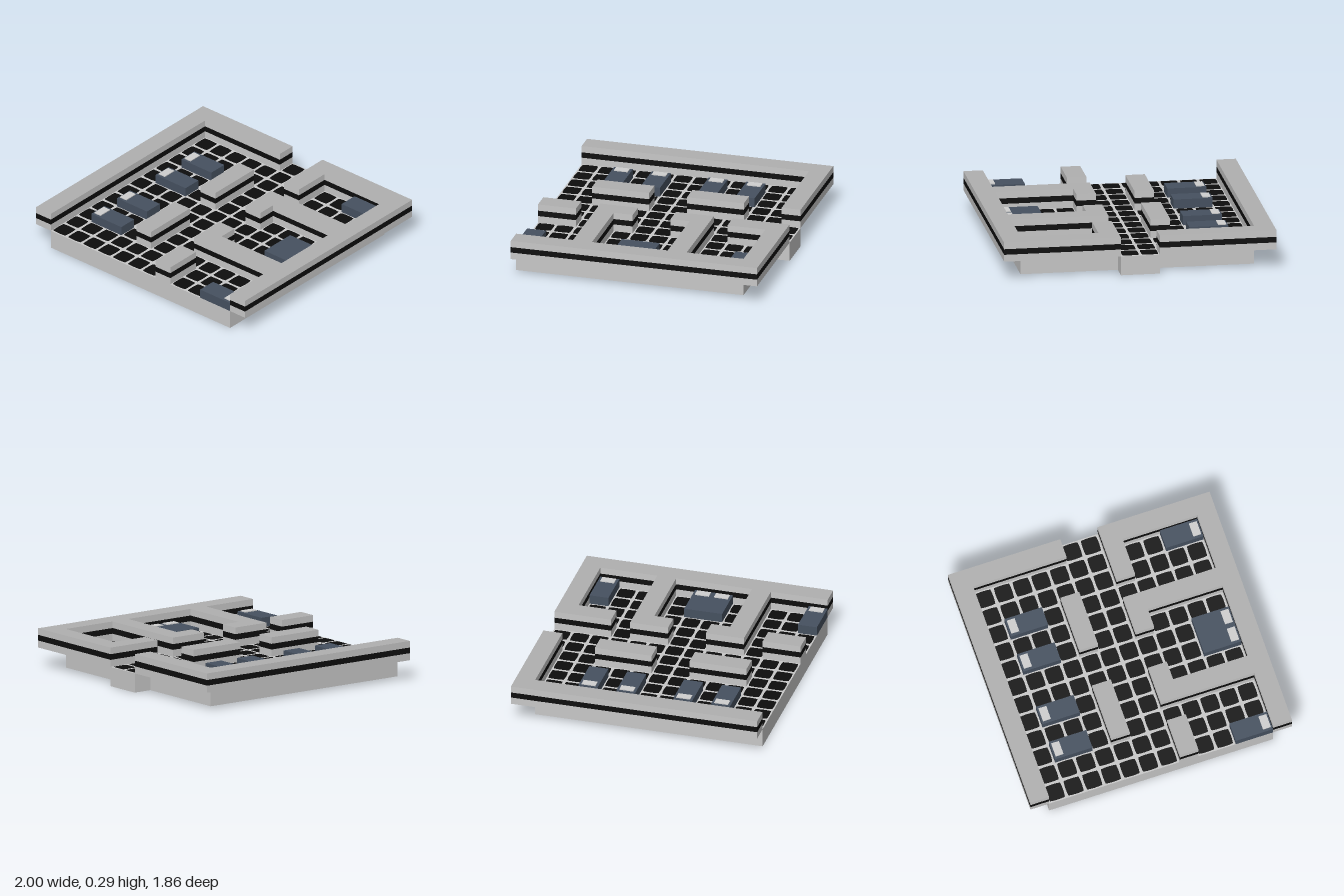
import * as THREE from 'three';

// Everything sits on a grid of 14 by 13 square cells.
const U = 2 / 14;
const COLS = 14, ROWS = 13;

// Cell rectangles: [column, row, width, depth], row 0 at the back
const WALLS = [
  [0, 0, 1, 13], [13, 0, 1, 13],            // long side walls
  [1, 0, 5, 1], [8, 0, 5, 1],               // back walls beside the doorway
  [8, 1, 1, 2], [8, 4, 1, 2], [8, 8, 1, 2], [8, 11, 1, 2], // room fronts
  [9, 4, 4, 1], [9, 9, 4, 1],               // room dividers
  [5, 3, 1, 3], [5, 8, 1, 3],               // free-standing partitions
];
const BEDS = [
  ...[3, 5, 8, 10].map((r) => [2, r, 2, 1]),
  ...[1, 6, 7, 12].map((r) => [11, r, 2, 1]),
];
const FLOORS = [[1, 1, 12, 12], [6, 0, 2, 1]];

function material(name, color) {
  const m = new THREE.MeshStandardMaterial({ color });
  m.name = name;
  return m;
}

export function createModel() {
  const model = new THREE.Group();
  model.name = 'floorPlan';

  const stone = material('lightStone', 0xc8c8c8);
  const cap = material('wallCap', 0xb0b0b0);
  const black = material('black', 0x0d0d0d);
  const blanket = material('blanket', 0x465160);
  const linen = material('pillowLinen', 0xcfcfcf);
  const capped = [stone, stone, cap, stone, stone, stone];

  // Box filling a cell rectangle between two heights
  function cellBox(parent, name, [c, r, w, d], y0, y1, mat) {
    const mesh = new THREE.Mesh(new THREE.BoxGeometry(w * U, y1 - y0, d * U), mat);
    mesh.position.set((c + w / 2 - COLS / 2) * U, (y0 + y1) / 2, (r + d / 2 - ROWS / 2) * U);
    mesh.name = name;
    parent.add(mesh);
    return mesh;
  }
  function group(name) {
    const g = new THREE.Group();
    g.name = name;
    model.add(g);
    return g;
  }

  // Floor slab with doorstep
  const floor = group('floor');
  for (const f of FLOORS) cellBox(floor, 'floorSlab', f, 0, U, stone);

  // Walls in three courses, the middle one black
  const walls = group('walls');
  for (const w of WALLS) {
    cellBox(walls, 'wallBase', w, U, 0.195, stone);
    cellBox(walls, 'wallStripe', w, 0.195, 0.237, black);
    cellBox(walls, 'wallTop', w, 0.237, 2 * U, capped);
  }

  // Beds with the pillow at the outer end
  const beds = group('beds');
  for (const b of BEDS) {
    const bed = cellBox(beds, 'bed', b, U, 0.212, blanket);
    const side = Math.sign(bed.position.x);
    const pillow = new THREE.Mesh(new THREE.BoxGeometry(0.06, 0.008, 0.105), linen);
    pillow.name = 'pillow';
    pillow.position.set(side * 0.102, 0.037, 0);
    bed.add(pillow);
  }

  // Rounded floor tile with slightly bulging sides
  const a = 0.05, e = 0.059, m = 0.065;
  const outline = new THREE.Shape();
  outline.moveTo(-a, -e);
  outline.quadraticCurveTo(0, -m, a, -e);
  outline.quadraticCurveTo(e, -e, e, -a);
  outline.quadraticCurveTo(m, 0, e, a);
  outline.quadraticCurveTo(e, e, a, e);
  outline.quadraticCurveTo(0, m, -a, e);
  outline.quadraticCurveTo(-e, e, -e, a);
  outline.quadraticCurveTo(-m, 0, -e, -a);
  outline.quadraticCurveTo(-e, -e, -a, -e);
  const tileShape = new THREE.ShapeGeometry(outline, 4).rotateX(-Math.PI / 2);

  // One tile on every open floor cell
  const tiles = group('tiles');
  const covers = (c, r) => ([x, z, w, d]) => c >= x && c < x + w && r >= z && r < z + d;
  for (let r = 0; r < ROWS; r++) {
    for (let c = 0; c < COLS; c++) {
      const inside = covers(c, r);
      if (!FLOORS.some(inside) || WALLS.some(inside) || BEDS.some(inside)) continue;
      const tile = new THREE.Mesh(tileShape, black);
      tile.name = 'floorTile';
      tile.position.set((c + 0.5 - COLS / 2) * U - 0.003, U + 0.002, (r + 0.5 - ROWS / 2) * U);
      tiles.add(tile);
    }
  }

  return model;
}
